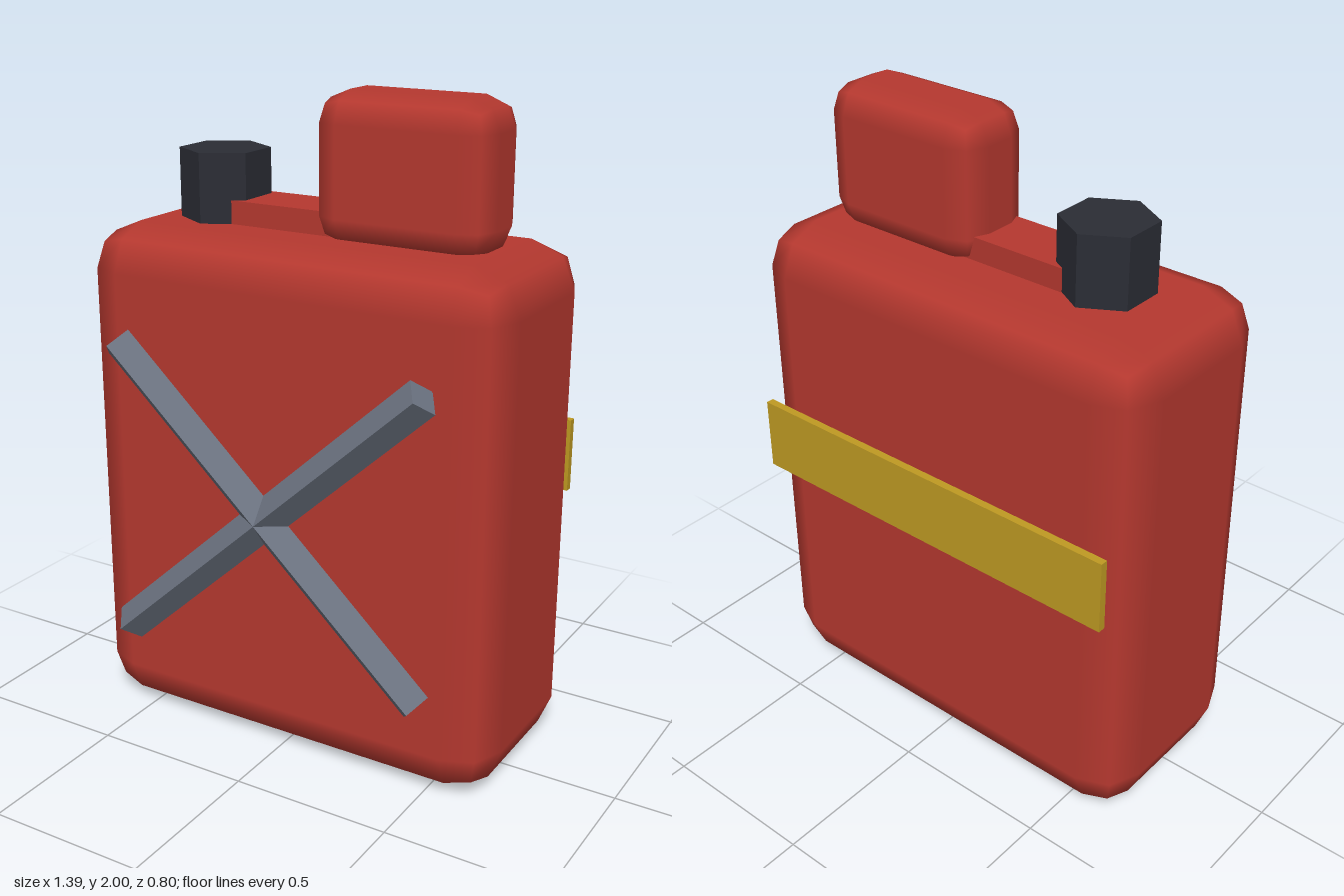
import * as THREE from 'three';
import { RoundedBoxGeometry } from 'three/addons/geometries/RoundedBoxGeometry.js';

export function createModel() {
  const group = new THREE.Group();

  const material = (name, color, flatShading = false) => {
    const m = new THREE.MeshStandardMaterial({ color, flatShading });
    m.name = name;
    return m;
  };
  const red = material('red paint', 0xb5382f);
  const charcoal = material('charcoal plastic', 0x2b2d35, true);
  const steel = material('grey steel', 0x6b7280, true);
  const gold = material('gold strap', 0xbf9a22);

  const add = (name, geometry, mat, x, y, z) => {
    const mesh = new THREE.Mesh(geometry, mat);
    mesh.name = name;
    mesh.position.set(x, y, z);
    group.add(mesh);
    return mesh;
  };

  // Canister body with softly chamfered edges
  add('body', new RoundedBoxGeometry(1.394, 1.584, 0.65, 1, 0.14), red, 0, 0.792, -0.037);

  // Upright grip block and the low bar leading to it
  add('handle', new RoundedBoxGeometry(0.555, 0.445, 0.275, 1, 0.09), red, 0.278, 1.7775, -0.037);
  add('handleBar', new THREE.BoxGeometry(0.58, 0.11, 0.186), red, 0, 1.6, -0.037);

  // Hexagonal filler cap
  add('cap', new THREE.CylinderGeometry(0.138, 0.138, 0.235, 6), charcoal, -0.372, 1.677, -0.037);

  // Crossed diamond-section ribs on the front
  for (const side of [-1, 1]) {
    const rib = add(side < 0 ? 'rightRib' : 'leftRib',
      new THREE.CylinderGeometry(0.057, 0.057, 1.38, 4), steel, 0, 0.793, 0.342);
    rib.rotation.z = -side * Math.atan2(0.51, 0.465);
  }

  // Strap across the back
  add('backStrap', new THREE.BoxGeometry(1.3, 0.23, 0.024), gold, 0, 0.888, -0.386);

  return group;
}
